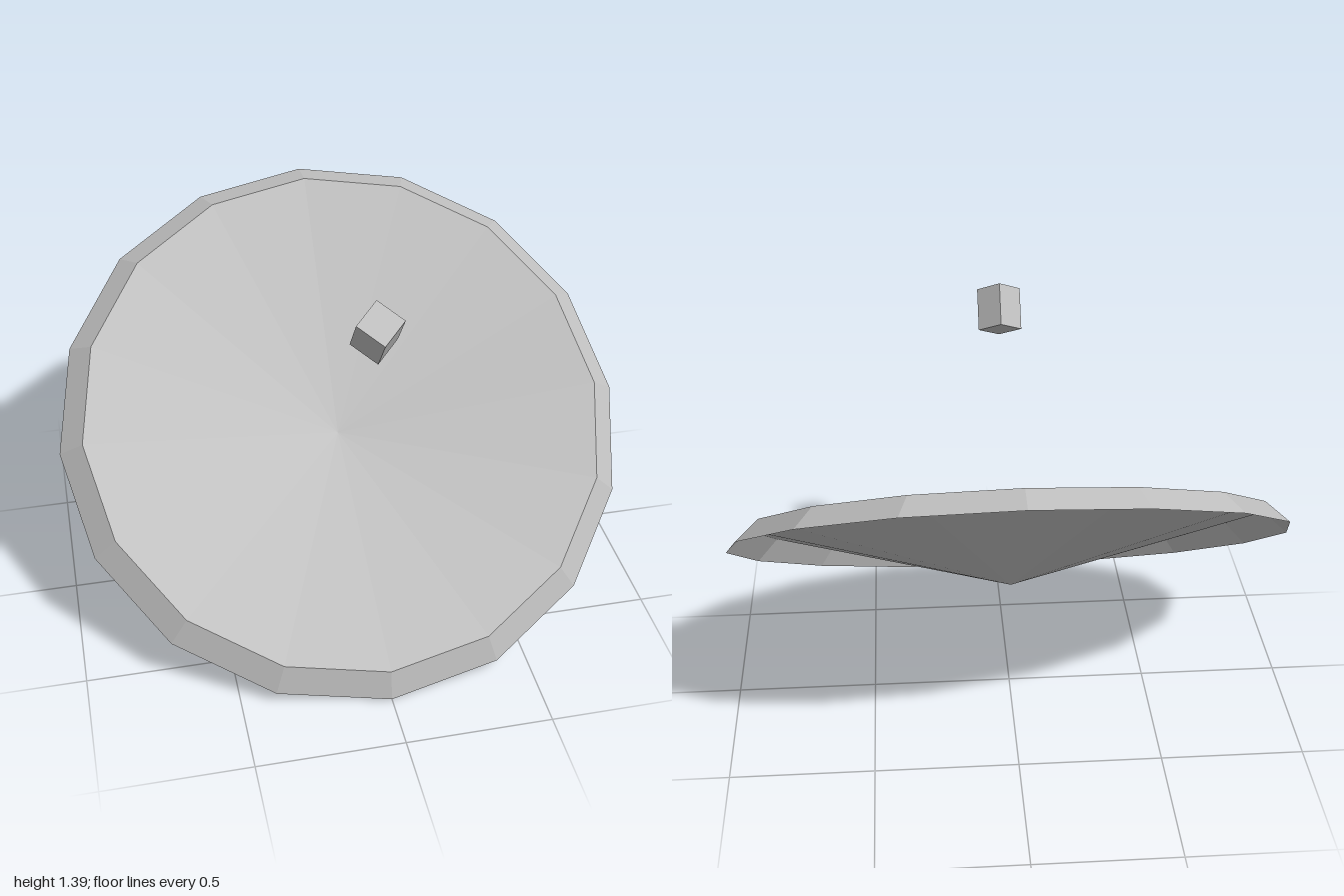
import * as THREE from 'three';

export function createModel() {
  const grey = new THREE.MeshStandardMaterial({ color: 0xc0c0c0, flatShading: true, side: THREE.DoubleSide });
  grey.name = 'light grey';

  const SIDES = 16;
  const RIM_Y = 0.077;   // height of the lip above the outer edge
  const APEX_Y = -0.15;  // depth of the bowl's point

  // Whole antenna is tilted forward about its outer edge's centre
  const antenna = new THREE.Group();
  antenna.name = 'antenna';
  antenna.position.y = 0.6;
  antenna.rotation.x = Math.atan2(0.6, 0.8);

  // Adds a faceted ring or prism spanning y0 to y1 on the dish axis
  const addPart = (name, topR, bottomR, y0, y1, sides, open) => {
    const geometry = new THREE.CylinderGeometry(topR, bottomR, y1 - y0, sides, 1, open).toNonIndexed();
    geometry.computeVertexNormals();
    const mesh = new THREE.Mesh(geometry, grey);
    mesh.name = name;
    mesh.position.y = (y0 + y1) / 2;
    antenna.add(mesh);
  };

  // Shallow conical bowl, open on the front
  addPart('dishBowl', 0.92, 0, APEX_Y, RIM_Y, SIDES, true);
  // Sloping skirt around the lip
  addPart('dishRim', 0.92, 1, 0, RIM_Y, SIDES, true);
  // Square receiver floating on the axis
  addPart('receiver', 0.077, 0.077, 0.774, 0.924, 4, false);

  const model = new THREE.Group();
  model.name = 'dishAntenna';
  model.add(antenna);
  return model;
}
